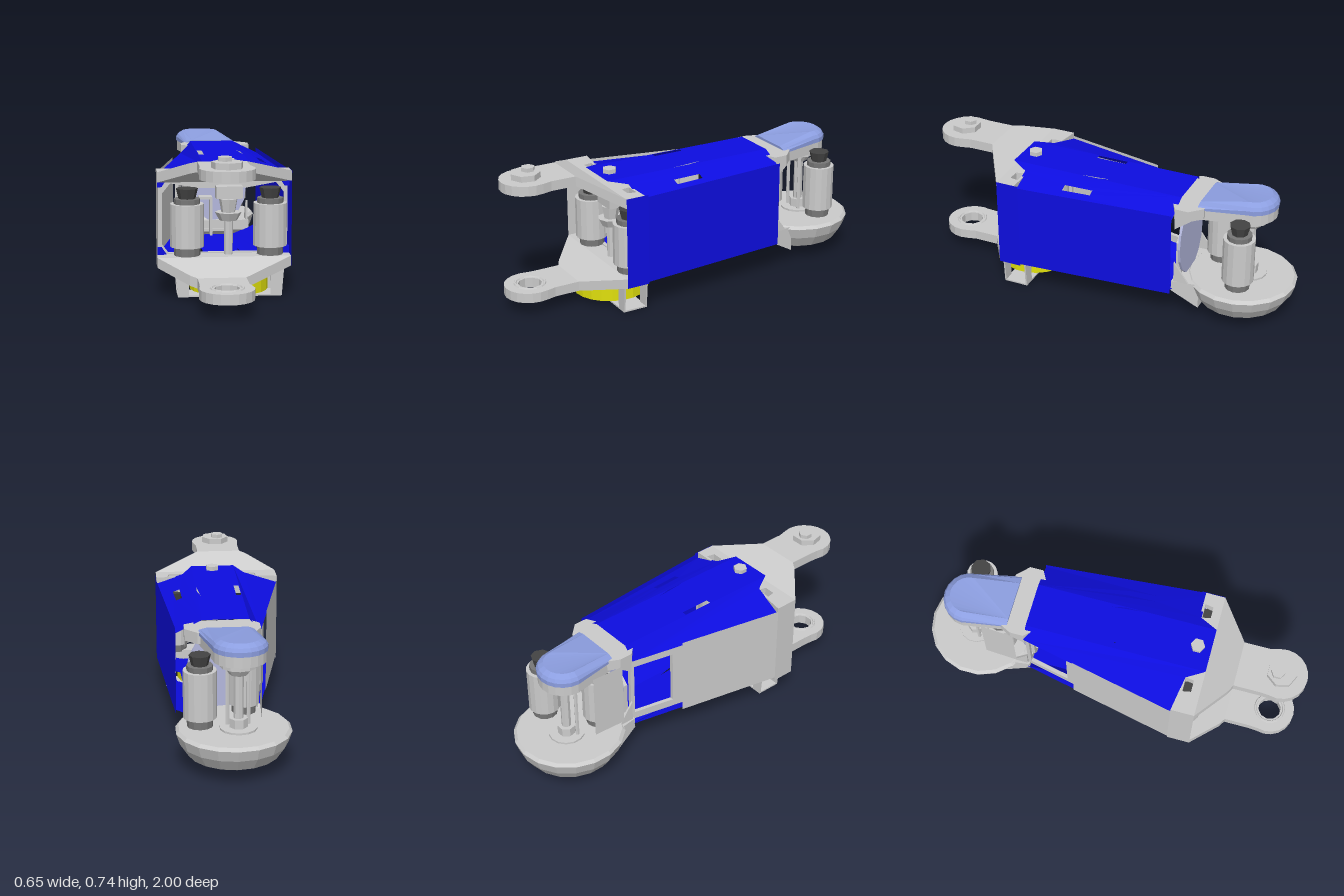
import * as THREE from 'three';

const mat = (color) => new THREE.MeshStandardMaterial({ color, flatShading: true, side: THREE.DoubleSide });
const grey = mat(0xcccccc), dark = mat(0x777777), black = mat(0x444444);
const blue = mat(0x0d0de0), yellow = mat(0xe0e00d), lavender = mat(0x8c9ee0), pale = mat(0xb3b7dd);

export function createModel() {
  const model = new THREE.Group();
  const add = (name, geo, m = grey, parent = model) => {
    const mesh = new THREE.Mesh(geo, m);
    mesh.name = name;
    parent.add(mesh);
    return mesh;
  };
  const poly = (pts) => pts.map(([a, b]) => new THREE.Vector2(a, b));
  const circle = (x, z, r, n = 16) => Array.from({ length: n }, (_, i) =>
    [x + r * Math.cos(i / n * Math.PI * 2), z + r * Math.sin(i / n * Math.PI * 2)]);
  const shapeOf = (pts, holes = []) => {
    const s = new THREE.Shape(poly(pts));
    s.holes = holes.map((h) => new THREE.Path(poly(h)));
    return s;
  };
  const extrude = (pts, depth, holes) => new THREE.ExtrudeGeometry(shapeOf(pts, holes), { depth, bevelEnabled: false });
  // Horizontal plate from an (x, z) outline, its top at y
  const slab = (pts, y, t, holes) => extrude(pts, t, holes).rotateX(Math.PI / 2).translate(0, y, 0);
  const bend = (geo, rule) => {
    const p = geo.attributes.position;
    for (let i = 0; i < p.count; i++) p.setY(i, rule(p.getX(i), p.getY(i), p.getZ(i)));
    geo.computeVertexNormals();
    return geo;
  };
  const cyl = (name, x, z, y0, y1, r, m = grey, n = 12, r2 = r, parent = model) =>
    add(name, new THREE.CylinderGeometry(r2, r, y1 - y0, n).translate(x, (y0 + y1) / 2, z), m, parent);
  const box = (name, x0, x1, y0, y1, z0, z1, m = grey) =>
    add(name, new THREE.BoxGeometry(x1 - x0, y1 - y0, z1 - z0).translate((x0 + x1) / 2, (y0 + y1) / 2, (z0 + z1) / 2), m);

  // Folded shell panels, a flat middle strip and two sloping flanks
  const leftEdge = (z) => -0.155 - 0.172 * Math.min(1, (z + 0.43) / 0.8);
  const rightEdge = (z) => 0.26 + 0.064 * Math.min(1, (z + 0.43) / 0.8);
  const fold0 = -0.1, fold1 = 0.13;
  const strips = [
    [[[fold0, -0.43], [fold1, -0.43], [fold1, 0.5], [fold0, 0.5]],
      [[[-0.096, -0.04], [-0.07, -0.04], [-0.07, 0.12], [-0.096, 0.12]], [[0.112, -0.04], [0.127, 0.12], [0.127, 0.03]]]],
    [[[leftEdge(-0.43), -0.43], [fold0, -0.43], [fold0, 0.5], [-0.15, 0.41], [-0.327, 0.38]], []],
    [[[fold1, -0.43], [rightEdge(-0.43), -0.43], [0.324, 0.41], [0.18, 0.41], [fold1, 0.5]],
      [[[0.205, 0.02], [0.235, 0.02], [0.245, 0.17], [0.21, 0.17]]]],
  ];
  const shell = (name, mid, edge) => {
    const g = new THREE.Group();
    g.name = name;
    model.add(g);
    for (const [pts, holes] of strips) {
      const geo = new THREE.ShapeGeometry(shapeOf(pts, holes)).rotateX(Math.PI / 2);
      add('panelStrip', bend(geo, (x, y, z) => {
        const t = x < fold0 ? (x - fold0) / (leftEdge(z) - fold0) : x > fold1 ? (x - fold1) / (rightEdge(z) - fold1) : 0;
        return mid + (edge - mid) * Math.max(0, t);
      }), blue, g);
    }
  };
  shell('topPanel', 0.65, 0.585);
  shell('bottomPanel', 0.13, 0.185);

  // Upright sheets standing on a line from (x0, z0) to (x1, z1)
  const sheet = (name, x0, z0, x1, z1, y0, y1, m) => {
    const mesh = add(name, new THREE.PlaneGeometry(Math.hypot(x1 - x0, z1 - z0), y1 - y0), m);
    mesh.position.set((x0 + x1) / 2, (y0 + y1) / 2, (z0 + z1) / 2);
    mesh.rotation.y = Math.atan2(z0 - z1, x1 - x0);
  };
  sheet('rightSidePanel', 0.326, 0.38, 0.26, -0.43, 0.16, 0.61, blue);
  sheet('rightSidePanelFront', 0.326, 0.5, 0.326, 0.38, 0.15, 0.62, blue);
  sheet('leftSidePanel', leftEdge(-0.16), -0.16, -0.328, 0.38, 0.17, 0.6, grey);
  sheet('leftSidePanelFront', -0.328, 0.38, -0.328, 0.5, 0.15, 0.62, grey);
  sheet('rearLeftWall', -0.14, -0.66, -0.15, -0.49, 0.23, 0.58, grey);

  // Inner C bracket beside the open part of the left side
  const inner = (z) => leftEdge(z) + 0.02;
  for (const [z0, z1, y0, y1] of [[-0.2, -0.1, 0.2, 0.57], [-0.42, -0.2, 0.2, 0.24], [-0.42, -0.2, 0.53, 0.57], [-0.43, -0.41, 0.2, 0.57]]) {
    add('leftBracket', slab([[inner(z0), z0], [inner(z1), z1], [inner(z1) + 0.02, z1], [inner(z0) + 0.02, z0]], y1, y1 - y0));
  }

  // Front yokes: round tip, sloping flare and corner plate
  const cx = -0.025, cz = 0.865, R = 0.13;
  const tip = [[-0.146, 0.65], [0.0875, 0.65], [0.0875, 0.78]];
  for (let i = 0; i <= 12; i++) {
    const a = -0.3 + i / 12 * (Math.PI + 0.6);
    tip.push([cx + R * Math.cos(a), cz + R * Math.sin(a)]);
  }
  tip.push([-0.146, 0.78]);
  const flare = [[-0.327, 0.5], [0.324, 0.5], [0.12, 0.63], [0.0875, 0.65], [-0.146, 0.65], [-0.18, 0.63]];
  const corner = [[-0.327, 0.38], [-0.2, 0.4], [0.2, 0.4], [0.324, 0.4], [0.324, 0.5], [-0.327, 0.5]];
  const notch = (x) => [[x - 0.038, 0.412], [x + 0.038, 0.412], [x + 0.03, 0.455], [x - 0.03, 0.455]];
  for (const upper of [true, false]) {
    const g = new THREE.Group();
    g.name = upper ? 'upperYoke' : 'lowerYoke';
    model.add(g);
    const top = upper ? 0.69 : 0.13, s = upper ? -1 : 1;
    add('yokeTip', slab(tip, top, 0.05, upper ? [] : [circle(cx, cz, 0.06, 10)]), grey, g);
    add('yokeFlare', bend(slab(flare, top, 0.05), (x, y, z) => y + s * 0.07 * (0.65 - z) / 0.15), grey, g);
    add('yokeCorner', slab(corner, top + s * 0.07, 0.05, upper ? [notch(-0.18), notch(0.225)] : []), grey, g);
    // Small gussets joining the yoke to the side plates
    for (const [x, d] of [[-0.326, 0.046], [0.324, -0.046]]) {
      const y0 = upper ? 0.57 : 0.2, y1 = y0 + s * 0.035;
      add('yokeGusset', extrude([[x, y0], [x + d, y0], [x + d * 0.5, y1], [x, y1]], 0.02).translate(0, 0, 0.405), blue, g);
    }
  }
  // Open frame between the yokes
  add('frontFrame', extrude([[-0.32, 0.2], [0.318, 0.2], [0.318, 0.57], [-0.32, 0.57]], 0.02,
    [[[-0.27, 0.205], [0.27, 0.205], [0.3, 0.245], [0.3, 0.5], [0.26, 0.55], [0.12, 0.525], [-0.12, 0.525], [-0.26, 0.55], [-0.3, 0.5], [-0.3, 0.245]]])
    .translate(0, 0, 0.385));
  cyl('upperPivotNut', cx, cz, 0.69, 0.72, 0.075, grey, 7);
  cyl('upperPivotBolt', cx - 0.01, cz - 0.02, 0.72, 0.74, 0.035, grey, 6);
  add('lowerPivotRing', new THREE.TorusGeometry(0.075, 0.007, 6, 16).rotateX(Math.PI / 2).translate(cx, 0.13, cz));
  cyl('topNut', 0.02, 0.43, 0.65, 0.672, 0.036, grey, 6);

  // Motors
  const motor = (name, x, z, y0, y1, r) => {
    const g = new THREE.Group();
    g.name = name;
    model.add(g);
    cyl('motorFoot', x, z, y0 - 0.045, y0, r * 0.78, dark, 12, r * 0.78, g);
    cyl('motorBody', x, z, y0, y1, r, grey, 16, r, g);
    cyl('motorCollar', x, z, y1, y1 + 0.025, r * 0.78, dark, 12, r * 0.78, g);
    cyl('motorKnob', x, z, y1 + 0.025, y1 + 0.075, r * 0.5, black, 8, r * 0.65, g);
  };
  motor('frontLeftMotor', -0.18, 0.435, 0.243, 0.455, 0.083);
  motor('frontRightMotor', 0.228, 0.435, 0.243, 0.455, 0.083);
  motor('rearOuterMotor', 0.162, -0.75, 0.28, 0.515, 0.08);
  motor('rearInnerMotor', -0.06, -0.585, 0.28, 0.515, 0.075);

  // Front drive shaft
  const fx = 0.023, fz = 0.43;
  cyl('frontShaft', fx, fz, 0.03, 0.48, 0.022, grey, 8);
  cyl('frontShaftFoot', fx, fz, 0.155, 0.172, 0.065, dark, 10);
  cyl('frontShaftFootNut', fx, fz, 0.172, 0.2, 0.045, grey, 7);
  cyl('frontShaftFlange', fx, fz, 0.37, 0.41, 0.045, grey, 8, 0.066);
  cyl('frontShaftHub', fx, fz, 0.41, 0.475, 0.035, grey, 7, 0.047);
  box('frontShaftBlock', -0.04, 0.09, 0.48, 0.54, 0.39, 0.47);
  box('sensorBracket', -0.065, -0.055, 0.29, 0.48, 0.36, 0.42);
  box('sensorArm', -0.12, -0.055, 0.47, 0.482, 0.36, 0.42);

  // Rear cover plate and the frame in front of it
  const oval = circle(0, 0, 1, 16).map(([a, b]) => [0.055 + 0.155 * a, 0.395 + 0.2 * b]);
  add('rearCoverPlate', extrude(oval, 0.012).translate(0, 0, -0.46), pale);
  const frame = (d) => [[-0.05 + d, 0.15 + d], [0.1 - d, 0.15 + d], [0.132 - d, 0.2], [0.132 - d, 0.38], [0.092 - d, 0.42],
    [0.092 - d, 0.63 - d], [-0.042 + d, 0.63 - d], [-0.042 + d, 0.42], [-0.08 + d, 0.38], [-0.08 + d, 0.2]];
  add('rearFrame', extrude(frame(0), 0.03, [frame(0.013)]).translate(0, 0, -0.44));

  // Rear bowl, necks and their gussets
  const bowl = poly([[0, 0.07], [0.19, 0.07], [0.222, 0.085], [0.262, 0.145], [0.28, 0.2], [0.265, 0.215], [0, 0.215]]);
  add('rearBowl', new THREE.LatheGeometry(bowl, 18).translate(0, 0, -0.72));
  add('lowerNeck', bend(slab([[-0.15, -0.42], [0.22, -0.42], [0.2, -0.56], [-0.17, -0.56]], 0.21, 0.1),
    (x, y, z) => (y > 0.15 ? y : z > -0.5 ? 0.155 : 0.075)));
  add('upperNeck', slab([[-0.15, -0.43], [-0.1, -0.38], [0.13, -0.38], [0.22, -0.43], [0.22, -0.5], [0.16, -0.56], [-0.12, -0.56], [-0.15, -0.5]], 0.63, 0.057));
  for (const x of [-0.145, 0.205]) for (const [y, d] of [[0.21, 0.11], [0.573, -0.06]]) {
    const tri = [[0.43, y], [0.51, y], [0.43, y + d]];
    add('neckGusset', extrude(tri, 0.01).rotateY(Math.PI / 2).translate(x, 0, 0));
  }

  // Rear head with its rounded cap
  const head = (k) => {
    const pts = [[-0.12 * k, -0.525], [0.16 * k, -0.525]];
    for (let i = 0; i <= 10; i++) {
      const a = i / 10 * Math.PI;
      pts.push([-0.025 + 0.132 * k * Math.cos(a), -0.755 - 0.125 * k * Math.sin(a)]);
    }
    return pts;
  };
  add('rearHead', slab(head(0.96), 0.62, 0.06));
  // The cap slopes down towards the neck; the outline runs so that faces point outwards
  const rings = [[1, 0.615], [1, 0.638], [0.92, 0.655], [0.72, 0.671]].map(([k, y]) =>
    head(k).map(([x, z]) => [x, z > -0.62 ? 0.615 + (y - 0.615) * 0.5 : y, z]));
  const n = rings[0].length, pos = rings.flat(2), idx = [];
  for (let k = 0; k < rings.length - 1; k++) for (let i = 0; i < n; i++) {
    const a = k * n + i, b = k * n + (i + 1) % n;
    idx.push(a, b, a + n, b, b + n, a + n);
  }
  const last = (rings.length - 1) * n;
  for (let i = 1; i < n - 1; i++) idx.push(last, last + i, last + i + 1);
  const cap = new THREE.BufferGeometry();
  cap.setAttribute('position', new THREE.Float32BufferAttribute(pos, 3));
  cap.setIndex(idx);
  cap.computeVertexNormals();
  add('rearCap', cap, lavender);

  // Rear shaft
  const rx = -0.02, rz = -0.75;
  cyl('rearShaft', rx, rz, 0.21, 0.57, 0.024, grey, 8);
  cyl('rearShaftBase', rx, rz, 0.21, 0.225, 0.09, grey, 14);
  cyl('rearShaftNut', rx, rz, 0.225, 0.27, 0.045, grey, 7);
  cyl('rearShaftFlange', rx, rz, 0.49, 0.53, 0.045, grey, 8, 0.07);
  cyl('rearShaftHub', rx, rz, 0.53, 0.562, 0.09, grey, 12);
  for (const d of [-0.05, 0.05]) cyl('rearGuideRod', rx + d, rz + 0.03, 0.21, 0.53, 0.01, grey, 6);

  // Yellow wheel: rim, web and spokes
  const rim = poly([[0.16, 0.036], [0.193, 0.036], [0.193, 0.1], [0.16, 0.1], [0.16, 0.036]]);
  add('wheelRim', new THREE.LatheGeometry(rim, 22).translate(fx, 0, 0.44), yellow);
  cyl('wheelWeb', fx, 0.44, 0.085, 0.098, 0.165, yellow, 22);
  cyl('wheelHub', fx, 0.44, 0.025, 0.09, 0.025, dark, 8);
  for (const a of [0.5, 0.5 + Math.PI / 2]) {
    add('wheelSpoke', new THREE.BoxGeometry(0.32, 0.03, 0.02).rotateY(a).translate(fx, 0.07, 0.44), dark);
  }

  // Strap hanging under the wheel
  box('strapBase', -0.23, 0.28, 0.002, 0.01, 0.37, 0.5);
  for (const s of [-1, 1]) for (const z of [0.37, 0.492]) {
    const leg = [[0.2, 0.005], [0.255, 0.005], [0.268, 0.17], [0.2, 0.17]].map(([x, y]) => [0.025 + s * x, y]);
    add('strapLeg', extrude(leg, 0.008).translate(0, 0, z));
  }
  return model;
}
